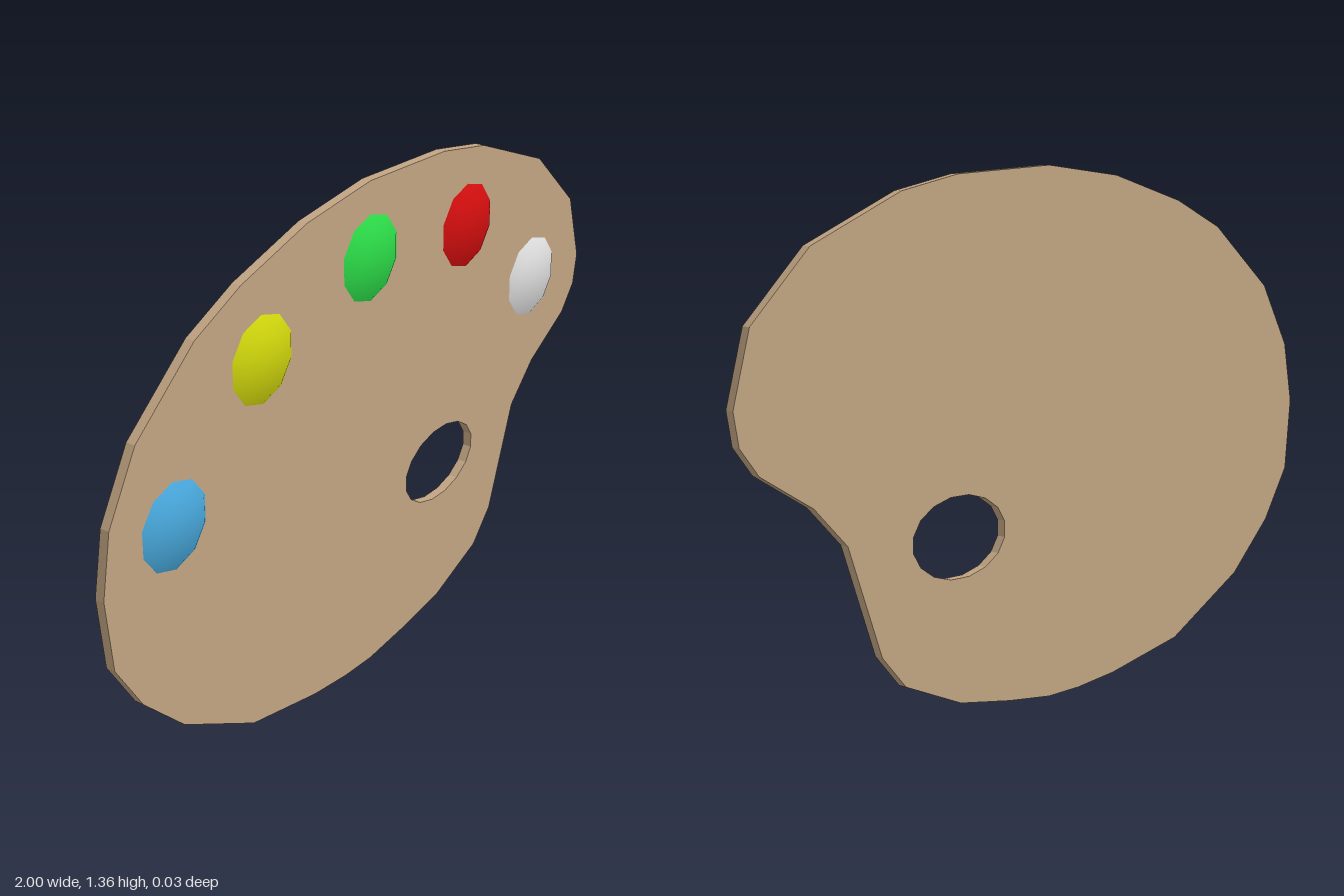
import * as THREE from 'three';

const material = (name, color) => {
  const m = new THREE.MeshStandardMaterial({ color });
  m.name = name;
  return m;
};

const BACK = -0.017, FACE = 0.0085, DAUB_HEIGHT = 0.0085, DAUB_RADIUS = 0.114;

// Board outline, clockwise from the top
const OUTLINE = [
  [0, 1.36], [0.315, 1.342], [0.497, 1.305], [0.775, 1.187], [0.95, 1.016],
  [1, 0.834], [0.985, 0.75], [0.93, 0.68], [0.775, 0.588], [0.675, 0.487],
  [0.572, 0.203], [0.497, 0.118], [0.315, 0.043], [0.145, 0.016], [0, 0],
  [-0.11, 0.003], [-0.245, 0.018], [-0.497, 0.07], [-0.755, 0.213],
  [-0.893, 0.348], [-0.98, 0.487], [-1, 0.68], [-0.97, 0.845],
  [-0.872, 1.016], [-0.663, 1.187], [-0.497, 1.262], [-0.25, 1.332],
];

function buildBoard() {
  const shape = new THREE.Shape(OUTLINE.map(([x, y]) => new THREE.Vector2(x, y)));
  // Oval thumb hole
  const hole = [];
  for (let i = 0; i < 16; i++) {
    const a = ((i + 0.5) / 16) * Math.PI * 2;
    hole.push(new THREE.Vector2(0.315 + 0.157 * Math.cos(a), 0.46 + 0.104 * Math.sin(a)));
  }
  shape.holes.push(new THREE.Path(hole));
  const geometry = new THREE.ExtrudeGeometry(shape, { depth: FACE - BACK, bevelEnabled: false });
  geometry.translate(0, 0, BACK);
  const board = new THREE.Mesh(geometry, material('wood', 0xc2a583));
  board.name = 'board';
  return board;
}

// Shallow ten-sided dome with rounded shading
function daubGeometry() {
  const profile = [[1, 0], [0.9, 0.75], [0.55, 0.95], [0, 1]]
    .map(([r, h]) => new THREE.Vector2(r * DAUB_RADIUS, h * DAUB_HEIGHT));
  const geometry = new THREE.LatheGeometry(profile, 10);
  geometry.rotateX(Math.PI / 2);
  const p = geometry.attributes.position, n = new THREE.Vector3();
  for (let i = 0; i < p.count; i++) {
    n.set(p.getX(i), p.getY(i), 0).multiplyScalar(0.55 / DAUB_RADIUS).setZ(1).normalize();
    geometry.attributes.normal.setXYZ(i, n.x, n.y, n.z);
  }
  return geometry;
}

export function createModel() {
  const model = new THREE.Group();
  model.name = 'paintPalette';
  model.add(buildBoard());

  // Paint daubs along the upper edge
  const geometry = daubGeometry();
  const daubs = [
    ['blue', 0x48a8dc, -0.757, 0.76],
    ['yellow', 0xd0d60c, -0.427, 1.05],
    ['green', 0x2cdc48, 0, 1.16],
    ['red', 0xd40e0e, 0.425, 1.108],
    ['white', 0xdedede, 0.752, 0.852],
  ];
  for (const [name, color, x, y] of daubs) {
    const daub = new THREE.Mesh(geometry, material(name + ' paint', color));
    daub.name = name + 'Daub';
    daub.position.set(x, y, FACE);
    model.add(daub);
  }
  return model;
}
